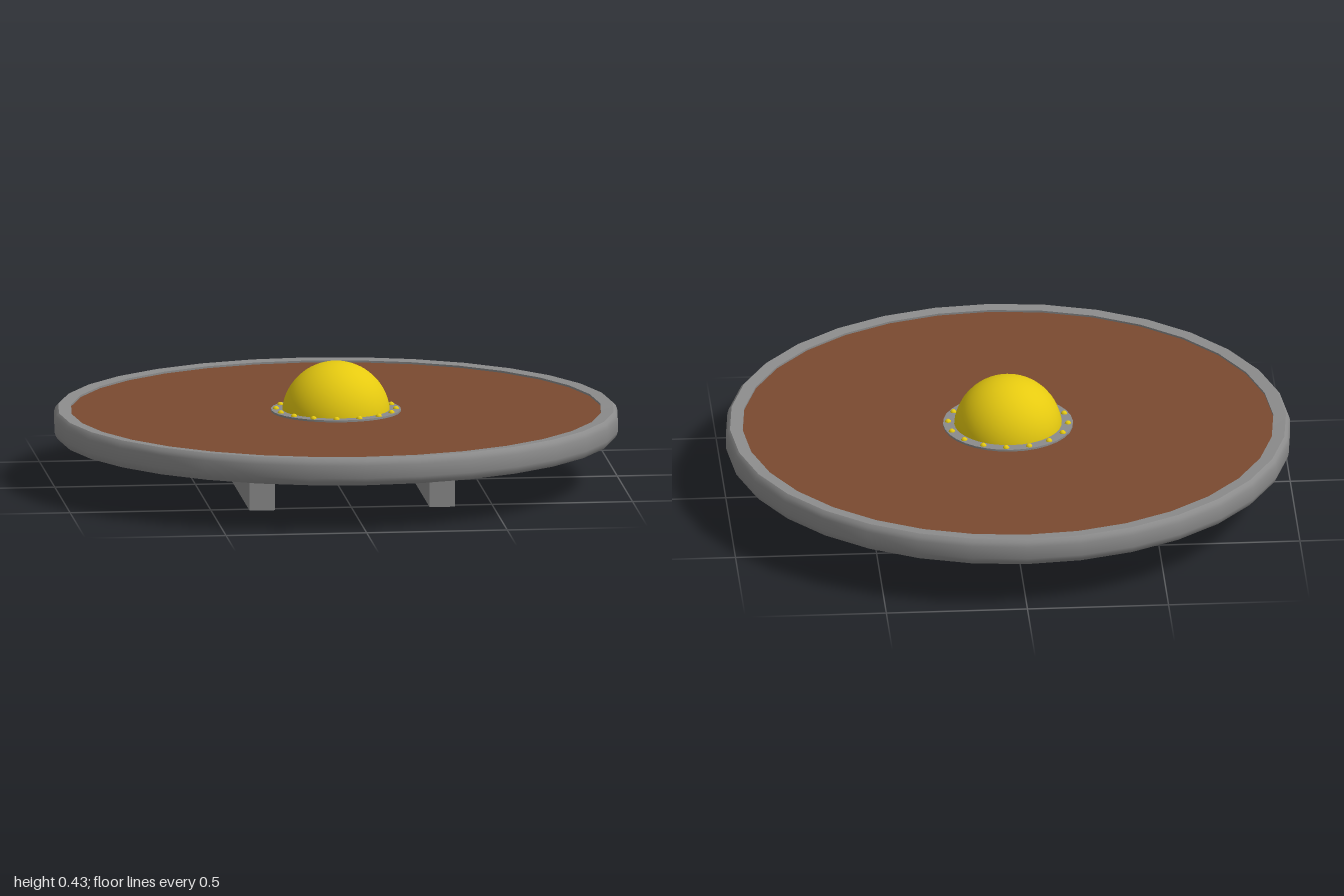
import * as THREE from 'three';
import { toCreasedNormals } from 'three/addons/utils/BufferGeometryUtils.js';

const material = (name, color) => {
  const m = new THREE.MeshStandardMaterial({ color });
  m.name = name;
  return m;
};

export function createModel() {
  const wood = material('brown wood', 0x7a4a30);
  const iron = material('grey iron', 0x8c8c8c);
  const gold = material('yellow gold', 0xe6ca10);
  const model = new THREE.Group();
  model.name = 'roundShield';

  const add = (name, geometry, mat, x = 0, y = 0, z = 0, parent = model) => {
    const mesh = new THREE.Mesh(geometry, mat);
    mesh.name = name;
    mesh.position.set(x, y, z);
    parent.add(mesh);
    return mesh;
  };
  const lathe = (points, sides) => toCreasedNormals(
    new THREE.LatheGeometry(points.map(p => new THREE.Vector2(...p)), sides), 0.6);

  // Wooden board
  add('board', new THREE.CylinderGeometry(0.945, 0.945, 0.08, 32), wood, 0, 0.215, 0);

  // Iron rim with small chamfers, closed profile
  add('rim', lathe([
    [0.94, 0.168], [0.985, 0.168], [0.995, 0.18], [1, 0.195], [1, 0.24],
    [0.995, 0.255], [0.985, 0.265], [0.94, 0.262], [0.94, 0.168],
  ], 32), iron);

  // Central boss: flat collar, dome and a circle of rivets
  const boss = new THREE.Group();
  boss.name = 'boss';
  model.add(boss);
  add('collar', lathe([[0.17, 0.25], [0.23, 0.25], [0.23, 0.262], [0.17, 0.262]], 32), iron, 0, 0, 0, boss);
  add('dome', new THREE.SphereGeometry(0.192, 32, 16, 0, Math.PI * 2, 0, Math.PI / 2), gold, 0, 0.24, 0, boss);
  const rivet = new THREE.SphereGeometry(0.012, 8, 6);
  for (let i = 0; i < 16; i++) {
    const a = 0.1 + i * Math.PI / 8;
    add('rivet', rivet, gold, Math.sin(a) * 0.212, 0.26, -Math.cos(a) * 0.212, boss);
  }

  // Two grips underneath, each one solid U-shaped bracket
  const profile = new THREE.Shape([
    [-0.53, 0], [0.53, 0], [0.53, 0.178], [0.472, 0.178],
    [0.472, 0.098], [-0.472, 0.098], [-0.472, 0.178], [-0.53, 0.178],
  ].map(p => new THREE.Vector2(...p)));
  const grip = new THREE.ExtrudeGeometry(profile, { depth: 0.09, bevelEnabled: false });
  grip.translate(0, 0, -0.045).rotateY(Math.PI / 2);
  for (const side of [-1, 1]) add(side > 0 ? 'leftGrip' : 'rightGrip', grip, iron, side * 0.32, 0, 0);

  return model;
}
